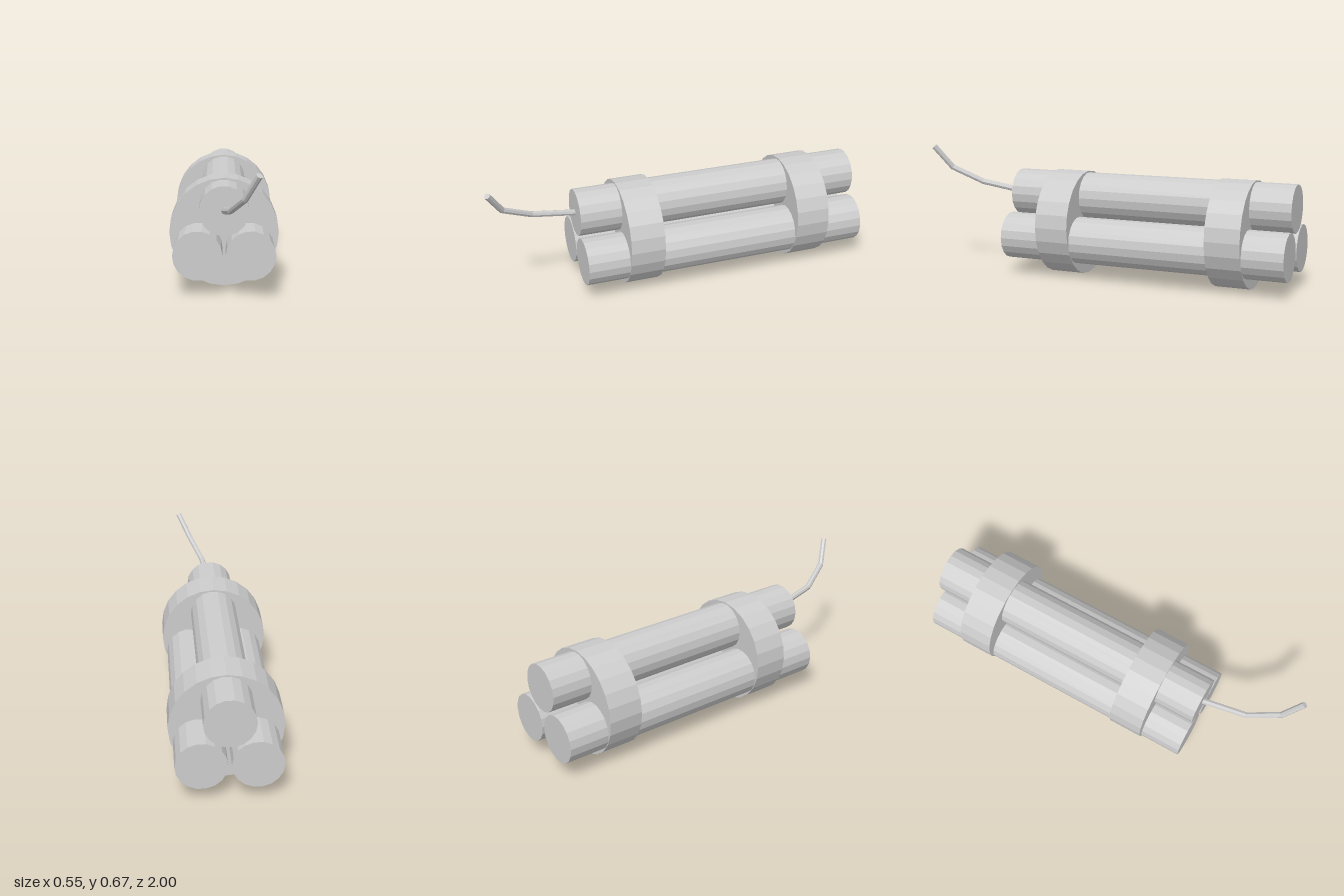
import * as THREE from 'three';

// Smooth-running curve that steps through points, giving mitred joints
class PolyPath extends THREE.Curve {
  constructor(points) {
    super();
    this.points = points;
  }
  getPoint(t, target = new THREE.Vector3()) {
    const f = t * (this.points.length - 1);
    const i = Math.min(Math.floor(f + 1e-6), this.points.length - 2);
    return target.lerpVectors(this.points[i], this.points[i + 1], f - i);
  }
  getPointAt(t, target) {
    return this.getPoint(t, target);
  }
  getTangentAt(t, target = new THREE.Vector3()) {
    const p = this.points, last = p.length - 1;
    const i = Math.round(t * last);
    target.set(0, 0, 0);
    if (i > 0) target.add(p[i].clone().sub(p[i - 1]).normalize());
    if (i < last) target.add(p[i + 1].clone().sub(p[i]).normalize());
    return target.normalize();
  }
}

export function createModel() {
  const group = new THREE.Group();
  const grey = new THREE.MeshStandardMaterial({ color: 0xcccccc });
  grey.name = 'lightGrey';
  grey.flatShading = true;

  const add = (name, geometry, parent = group) => {
    const mesh = new THREE.Mesh(geometry, grey);
    mesh.name = name;
    parent.add(mesh);
    return mesh;
  };

  // Cylinder lying along z between two depths
  const rod = (name, radius, sides, x, y, z0, z1, turn = 0) => {
    const geometry = new THREE.CylinderGeometry(radius, radius, z1 - z0, sides);
    geometry.rotateY(turn).rotateX(Math.PI / 2).translate(x, y, (z0 + z1) / 2);
    return add(name, geometry);
  };

  // Three bundled sticks, with a corner pointing sideways
  rod('topStick', 0.122, 18, 0, 0.42, -1, 0.525, Math.PI / 2);
  for (const [name, side] of [['leftStick', 1], ['rightStick', -1]]) {
    rod(name, 0.122, 18, side * 0.13, 0.2, -1, 0.525, side * Math.PI / 2);
  }

  // Two solid binding bands
  rod('frontBand', 0.275, 24, 0, 0.275, 0.128, 0.308);
  rod('rearBand', 0.275, 24, 0, 0.275, -0.79, -0.61);

  // Bent fuse with a closed tip
  const fuse = new THREE.Group();
  fuse.name = 'fuse';
  group.add(fuse);
  const path = new PolyPath([
    new THREE.Vector3(0, 0.419, 0.51),
    new THREE.Vector3(0.028, 0.463, 0.755),
    new THREE.Vector3(0.091, 0.542, 0.91),
    new THREE.Vector3(0.152, 0.659, 0.986),
  ]);
  add('fuseCord', new THREE.TubeGeometry(path, 3, 0.016, 8), fuse);

  const frames = path.computeFrenetFrames(3);
  const tip = add('fuseTip', new THREE.CircleGeometry(0.016, 8), fuse);
  const basis = new THREE.Matrix4().makeBasis(
    frames.normals[3],
    frames.tangents[3].clone().cross(frames.normals[3]),
    frames.tangents[3],
  );
  tip.quaternion.setFromRotationMatrix(basis);
  tip.position.copy(path.points[3]);

  return group;
}
